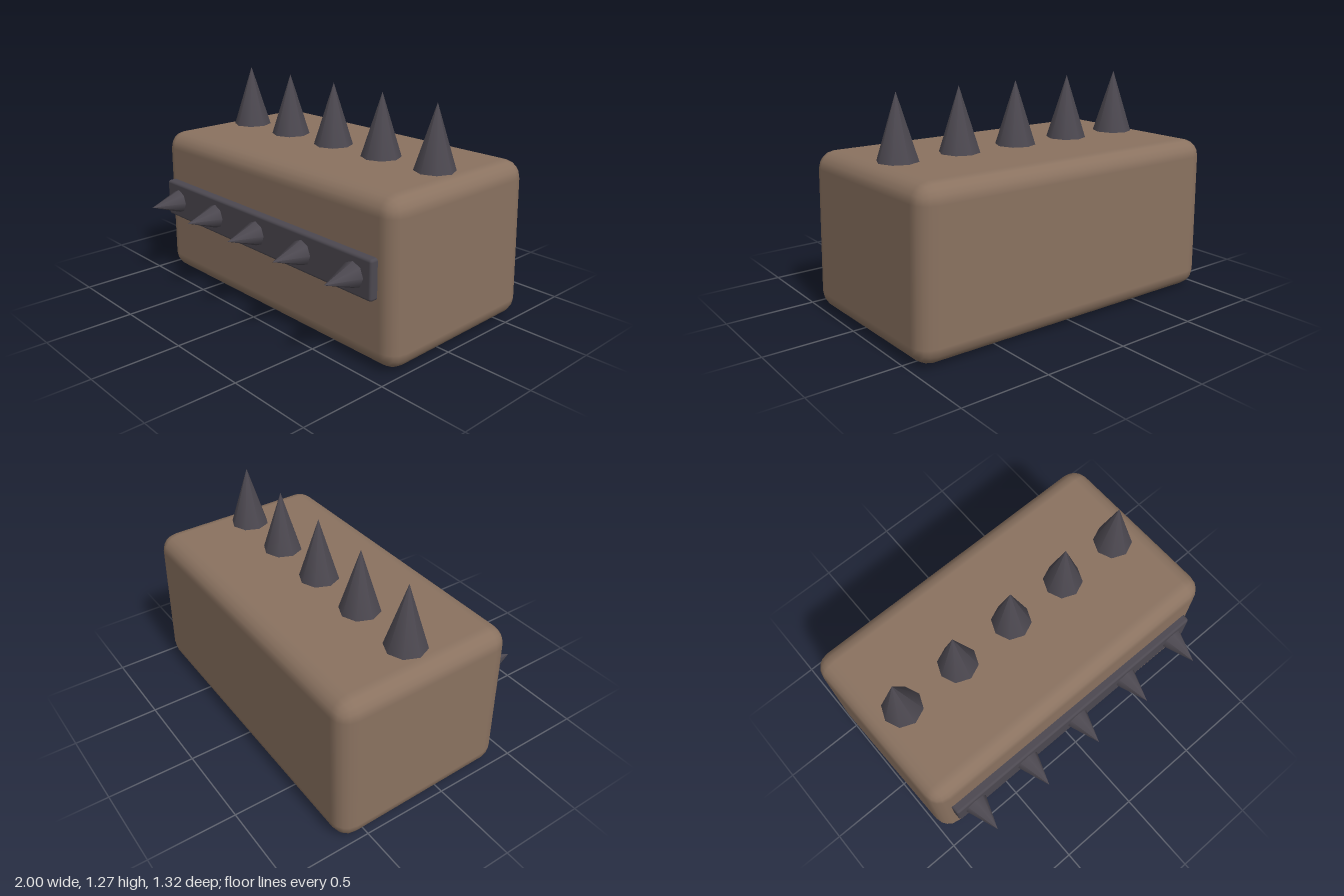
import * as THREE from 'three';
import { RoundedBoxGeometry } from 'three/addons/geometries/RoundedBoxGeometry.js';

const clay = new THREE.MeshStandardMaterial({ color: 0x8a7260 });
clay.name = 'brown block';
const iron = new THREE.MeshStandardMaterial({ color: 0x4c4850 });
iron.name = 'dark iron';

function addMesh(parent, name, geometry, material, x, y, z) {
  const mesh = new THREE.Mesh(geometry, material);
  mesh.name = name;
  mesh.position.set(x, y, z);
  parent.add(mesh);
  return mesh;
}

// Rounded block, slightly skewed so that it looks hand-hewn
function blockGeometry() {
  const geometry = new RoundedBoxGeometry(1.965, 0.9, 1.08, 2, 0.1);
  const p = geometry.attributes.position;
  for (let i = 0; i < p.count; i++) {
    const x = p.getX(i), y = p.getY(i), z = p.getZ(i);
    p.setXYZ(
      i,
      x * (1 - 0.022 * y) - 0.006 * y + 0.018 * z,
      y + 0.006 * x,
      z + 0.004 * x + 0.004 * y
    );
  }
  return geometry;
}

export function createModel() {
  const model = new THREE.Group();
  model.name = 'spikedBlock';

  addMesh(model, 'block', blockGeometry(), clay, 0, 0.457, -0.118);

  // Iron band across the front
  addMesh(model, 'frontBand', new RoundedBoxGeometry(1.77, 0.22, 0.09, 2, 0.016), iron, 0, 0.5, 0.425);

  // Five spikes on top and five on the band, bases sunk into the surface
  const topSpike = new THREE.ConeGeometry(0.12, 0.38, 8);
  const bandSpike = new THREE.ConeGeometry(0.078, 0.21, 8).rotateX(Math.PI / 2);
  for (let i = -2; i <= 2; i++) {
    const x = i * 0.381;
    addMesh(model, 'topSpike', topSpike, iron, x, 1.077, -0.115);
    addMesh(model, 'bandSpike', bandSpike, iron, x, 0.5, 0.555);
  }

  return model;
}
